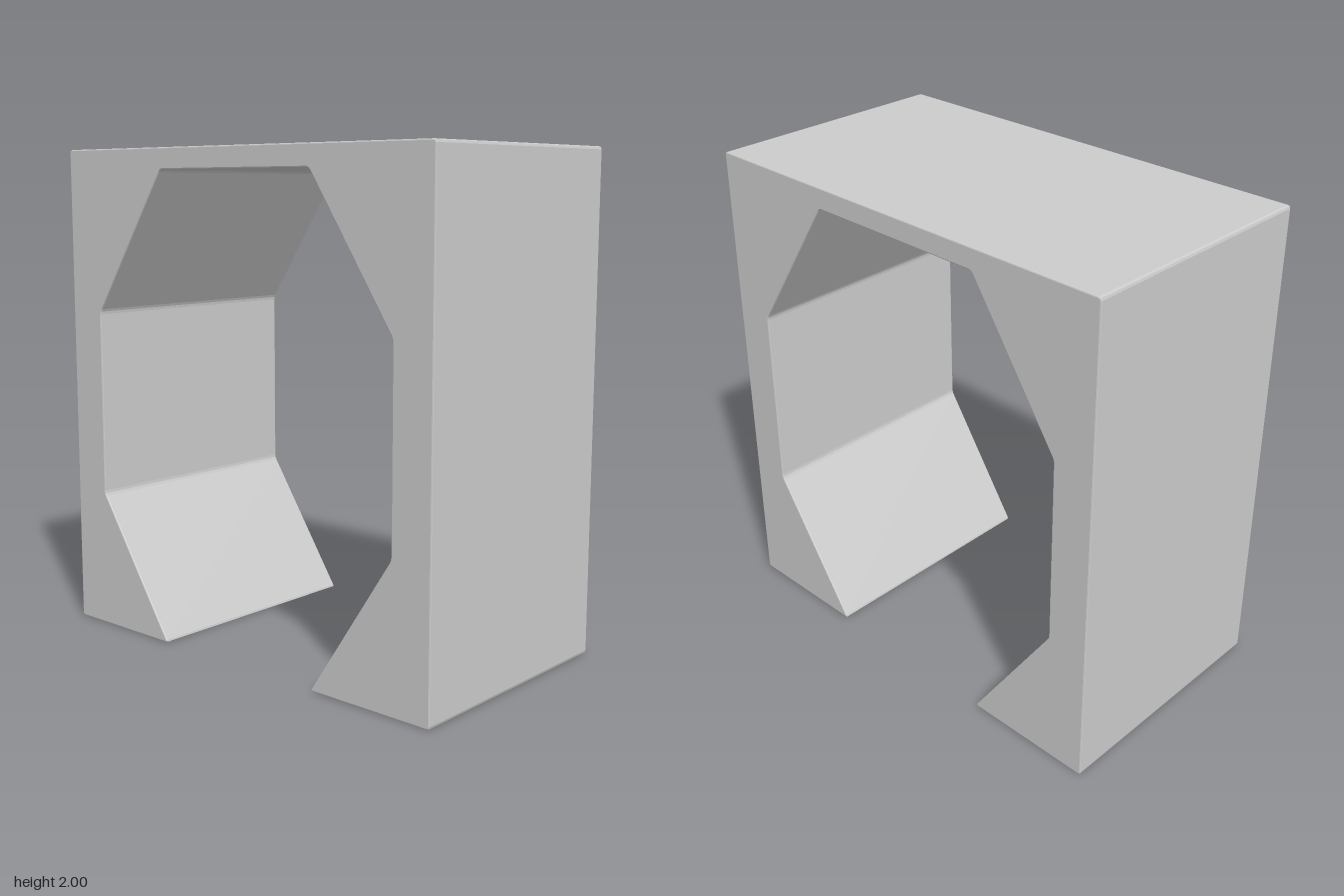
import * as THREE from 'three';

const HALF_DEPTH = 0.52;
const BEVEL = 0.005;
const CORNER = 0.012;

// Closed outline whose corners are slightly rounded
function roundedOutline(points, cut) {
  const shape = new THREE.Shape();
  points.forEach((p, i) => {
    const prev = points[(i + points.length - 1) % points.length];
    const next = points[(i + 1) % points.length];
    const a = p.clone().add(prev.clone().sub(p).setLength(cut));
    const b = p.clone().add(next.clone().sub(p).setLength(cut));
    if (i === 0) shape.moveTo(a.x, a.y);
    else shape.lineTo(a.x, a.y);
    shape.quadraticCurveTo(p.x, p.y, b.x, b.y);
  });
  shape.closePath();
  return shape;
}

export function createModel() {
  const group = new THREE.Group();
  group.name = 'archBlock';

  // Right half of the profile: outer corners, then the faceted opening
  const half = [
    [0.39, 1.915], [0.773, 1.34], [0.773, 0.57], [0.395, 0], [0.947, 0], [0.947, 2],
  ].map(([x, y]) => new THREE.Vector2(x, y));
  const mirrored = half.map((p) => new THREE.Vector2(-p.x, p.y)).reverse();

  // Open-bottomed arch, extruded front to back with softened edges
  const geometry = new THREE.ExtrudeGeometry(roundedOutline([...half, ...mirrored], CORNER), {
    depth: 2 * (HALF_DEPTH - BEVEL),
    curveSegments: 2,
    bevelEnabled: true,
    bevelSize: BEVEL,
    bevelThickness: BEVEL,
    bevelOffset: -BEVEL,
    bevelSegments: 2,
  });
  geometry.translate(0, 0, BEVEL - HALF_DEPTH);

  const arch = new THREE.Mesh(geometry, new THREE.MeshStandardMaterial({ color: 0xcccccc }));
  arch.name = 'arch';
  group.add(arch);
  return group;
}
